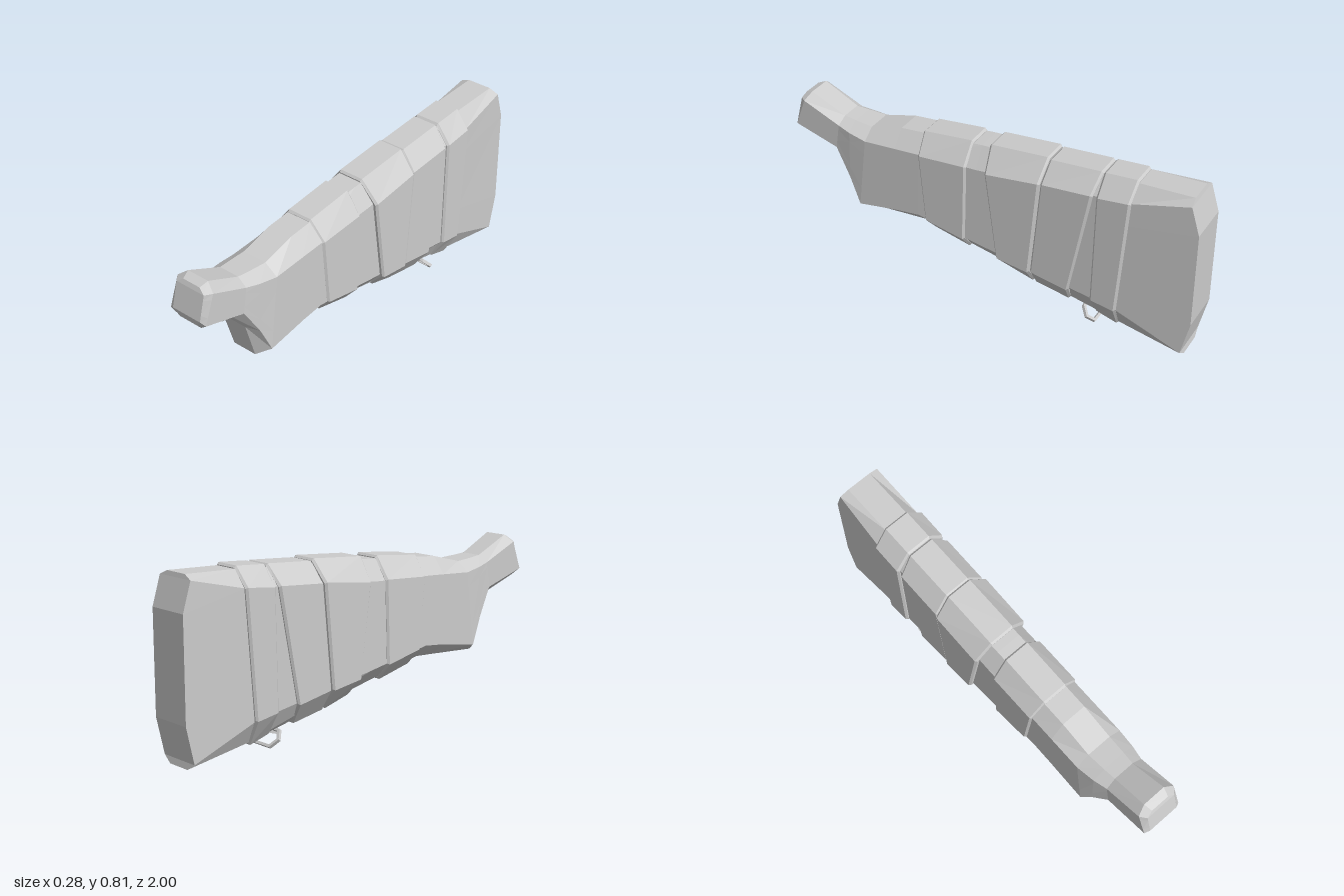
import * as THREE from 'three';

const material = new THREE.MeshStandardMaterial({ color: 0xcccccc, flatShading: true, side: THREE.DoubleSide });

const mix = (a, b, t) => [a[0] + (b[0] - a[0]) * t, a[1] + (b[1] - a[1]) * t];

// Closed ring from a half profile of [z, y] points: top, upper shoulder,
// two side points, lower shoulder, bottom. w = half width, c = half flat.
function ring(pts, w, c) {
  const [top, us, ls, bottom] = [pts[0], pts[1], pts.at(-2), pts.at(-1)];
  const sides = pts.length === 6 ? [pts[2], pts[3]] : [mix(us, ls, 0.2), mix(us, ls, 0.75)];
  const half = [top, us, ...sides, ls, bottom].map(([z, y], i) =>
    new THREE.Vector3(i === 0 || i === 5 ? c : w, y, z));
  const mirrored = half.map((p) => new THREE.Vector3(-p.x, p.y, p.z));
  return [...mirrored, ...half.reverse()];
}

// Ring lying in one slanted plane; the shoulders are given by height.
function slice(top, bottom, yUpper, yLower, w, c = 0.06) {
  const at = (y) => mix(top, bottom, (top[1] - y) / (top[1] - bottom[1]));
  return ring([top, at(yUpper), at(yLower), bottom], w, c);
}

// Skin rings running from front to back and close both ends.
function loft(name, rings) {
  const out = [];
  const quad = (a, b, c, d) => [a, b, c, a, c, d].forEach((p) => out.push(p.x, p.y, p.z));
  const n = rings[0].length;
  for (let i = 0; i < rings.length - 1; i++) {
    const r = rings[i], s = rings[i + 1];
    for (let j = 0; j < n; j++) {
      const k = (j + 1) % n;
      quad(r[j], s[j], s[k], r[k]);
    }
  }
  const f = rings[0], b = rings.at(-1);
  for (let i = 0; i < n / 2 - 1; i++) {
    quad(f[i], f[i + 1], f[n - 2 - i], f[n - 1 - i]);
    quad(b[n - 1 - i], b[n - 2 - i], b[i + 1], b[i]);
  }
  const geometry = new THREE.BufferGeometry();
  geometry.setAttribute('position', new THREE.Float32BufferAttribute(out, 3));
  geometry.computeVertexNormals();
  const mesh = new THREE.Mesh(geometry, material);
  mesh.name = name;
  return mesh;
}

// Faceted sleeve with a small step at each end.
// Each end: top [z, y], bottom [z, y], upper and lower shoulder heights.
function sleeve(name, front, back, w) {
  const d = 0.009;
  const end = ([top, bottom, yu, yl], inset, dz) => slice(
    [top[0] + dz, top[1] - inset], [bottom[0] + dz, bottom[1] + inset],
    yu - inset * 0.5, yl + inset * 0.5, w - inset, 0.06 - inset * 0.4);
  return loft(name, [
    end(front, d, 0), end(front, 0, -d), end(back, 0, d), end(back, d, 0),
  ]);
}

export function createModel() {
  const group = new THREE.Group();

  // Neck, grip bulge, tapered body and curved butt
  group.add(loft('stockBody', [
    ring([[0.958, 0.755], [0.967, 0.735], [0.998, 0.62], [0.993, 0.59]], 0.075, 0.045),
    ring([[0.92, 0.77], [0.938, 0.738], [0.988, 0.605], [0.975, 0.568]], 0.098, 0.055),
    ring([[0.75, 0.69], [0.755, 0.66], [0.775, 0.54], [0.79, 0.503]], 0.098, 0.05),
    ring([[0.69, 0.685], [0.69, 0.648], [0.70, 0.41], [0.73, 0.42]], 0.112, 0.055),
    ring([[0.60, 0.68], [0.60, 0.635], [0.645, 0.285], [0.685, 0.247]], 0.122, 0.06),
    ring([[0.44, 0.722], [0.44, 0.645], [0.44, 0.317], [0.44, 0.262]], 0.122, 0.06),
    ring([[0.32, 0.732], [0.32, 0.652], [0.33, 0.328], [0.33, 0.268]], 0.122, 0.06),
    ring([[0.03, 0.757], [0.03, 0.664], [0, 0.268], [0, 0.197]], 0.12, 0.06),
    ring([[-0.70, 0.80], [-0.70, 0.727], [-0.65, 0.16], [-0.65, 0.056]], 0.115, 0.06),
    ring([[-0.955, 0.81], [-0.96, 0.79], [-1, 0.66], [-1, 0.2], [-0.962, 0.033], [-0.967, 0.004]], 0.104, 0.06),
  ]));

  // Wrapped sleeves along the body
  group.add(
    sleeve('frontSleeve',
      [[0.327, 0.742], [0.285, 0.243], 0.652, 0.32],
      [[0.073, 0.766], [0.09, 0.2], 0.666, 0.28], 0.131),
    sleeve('middleSleeve',
      [[-0.008, 0.774], [-0.087, 0.162], 0.67, 0.245],
      [[-0.295, 0.795], [-0.235, 0.125], 0.70, 0.222], 0.14),
    sleeve('rearSleeve',
      [[-0.295, 0.787], [-0.235, 0.122], 0.698, 0.222],
      [[-0.545, 0.803], [-0.415, 0.092], 0.715, 0.19], 0.131),
    sleeve('buttSleeve',
      [[-0.548, 0.803], [-0.535, 0.072], 0.715, 0.178],
      [[-0.708, 0.813], [-0.652, 0.043], 0.73, 0.16], 0.13),
  );

  // Sling swivel: hexagonal loop hanging from a small tab
  const hexagon = (Type, w, h, flat) => new Type([
    [-flat, -h], [flat, -h], [w, 0], [flat, h], [-flat, h], [-w, 0],
  ].map(([x, y]) => new THREE.Vector2(x, y)));
  const shape = hexagon(THREE.Shape, 0.09, 0.046, 0.06);
  shape.holes.push(hexagon(THREE.Path, 0.074, 0.034, 0.052));
  const loopGeometry = new THREE.ExtrudeGeometry(shape, { depth: 0.014, bevelEnabled: false });
  loopGeometry.translate(0, 0, -0.007);
  const loop = new THREE.Mesh(loopGeometry, material);
  loop.name = 'slingLoop';
  loop.position.set(0, 0.043, -0.508);
  loop.rotation.x = 0.72;

  const tab = new THREE.Mesh(new THREE.BoxGeometry(0.024, 0.045, 0.05), material);
  tab.name = 'slingTab';
  tab.position.set(0, 0.073, -0.478);
  tab.rotation.x = 0.3;
  group.add(loop, tab);

  return group;
}
